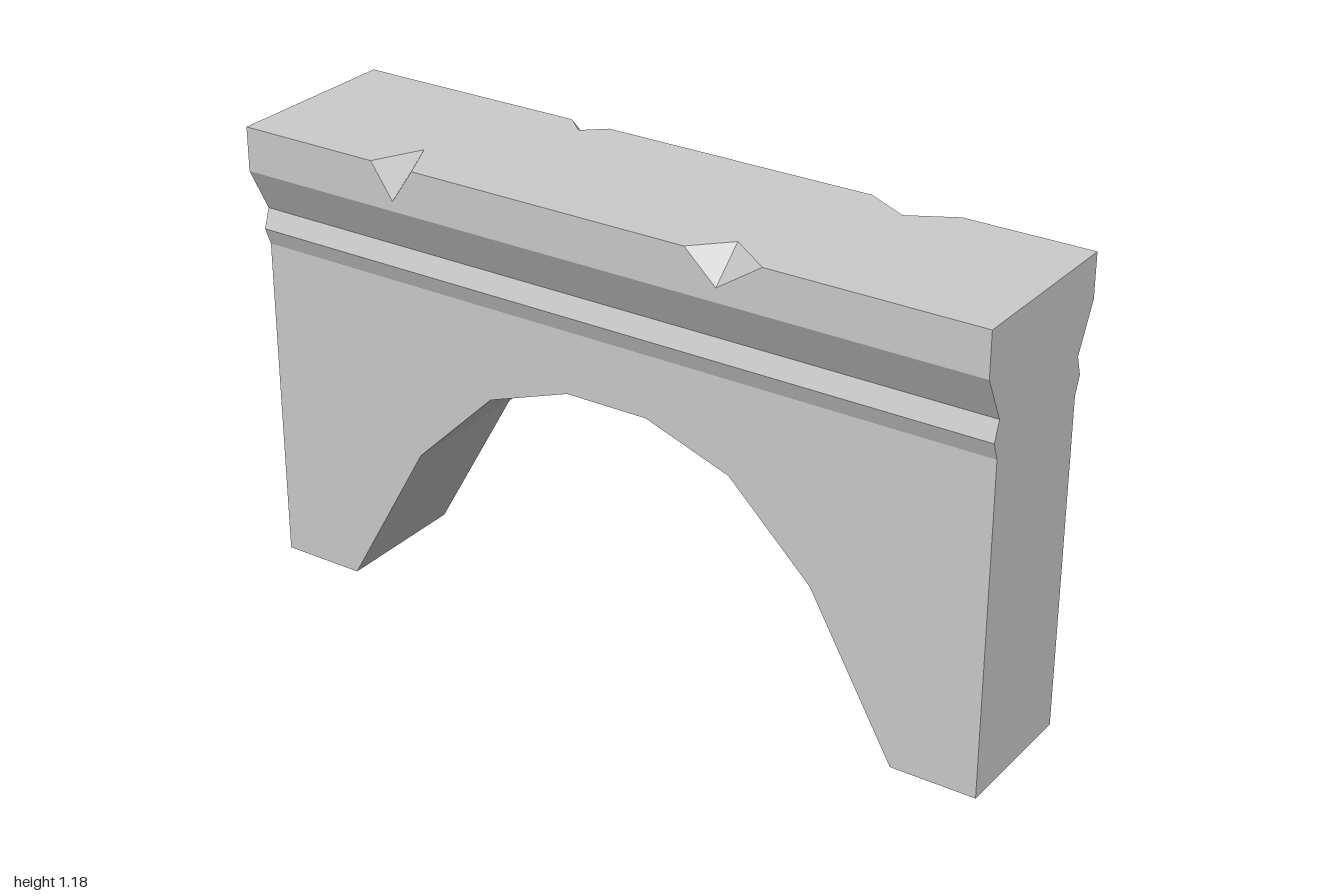
import * as THREE from 'three';

const TOP = 1.178, FASCIA_BOTTOM = 1.065, HALF_DEPTH = 0.238;
const WALL_TOP = 0.855, WALL_HALF = 0.18;

const material = new THREE.MeshStandardMaterial({ color: 0xcccccc, flatShading: true });

function mesh(name, geometry) {
  const m = new THREE.Mesh(geometry, material);
  m.name = name;
  return m;
}

const shapeOf = (points) => new THREE.Shape(points.map(([x, y]) => new THREE.Vector2(x, y)));

// Chips knocked out of the top edges: span along the edge, deepest position,
// height of the low point on the face and inner point on the top
const FRONT_CHIPS = [
  { from: -0.62, to: -0.5, mid: -0.56, low: 1.09, inner: 0.115 },
  { from: 0.25, to: 0.45, mid: 0.333, low: 1.1, inner: 0.152 },
];
const BACK_CHIPS = [
  { from: -0.67, to: -0.44, mid: -0.555, low: 1.117, inner: 0.175 },
  { from: 0.28, to: 0.39, mid: 0.335, low: 1.13, inner: 0.19 },
];

// One long side of the coping, facing +z: fascia, half of the top and chip hollows
function copingSide(name, chips) {
  const side = new THREE.Group();
  side.name = name;

  const edge = (height, notch) => chips.flatMap((c) => [[c.from, height], [c.mid, notch(c)], [c.to, height]]);

  side.add(mesh('fascia', new THREE.ShapeGeometry(shapeOf([
    [1, TOP], [1, FASCIA_BOTTOM], [-1, FASCIA_BOTTOM], [-1, TOP],
    ...edge(TOP, (c) => c.low),
  ])).translate(0, 0, HALF_DEPTH)));

  side.add(mesh('topHalf', new THREE.ShapeGeometry(shapeOf([
    [1, -HALF_DEPTH], [1, 0], [-1, 0], [-1, -HALF_DEPTH],
    ...edge(-HALF_DEPTH, (c) => -c.inner),
  ])).rotateX(-Math.PI / 2).translate(0, TOP, 0)));

  for (const c of chips) {
    const a = [c.from, TOP, HALF_DEPTH], b = [c.to, TOP, HALF_DEPTH];
    const low = [c.mid, c.low, HALF_DEPTH], inner = [c.mid, TOP, c.inner];
    const g = new THREE.BufferGeometry();
    g.setAttribute('position', new THREE.Float32BufferAttribute([a, low, inner, b, inner, low].flat(), 3));
    g.computeVertexNormals();
    side.add(mesh('chip', g));
  }
  return side;
}

export function createModel() {
  const model = new THREE.Group();
  model.name = 'archedWall';

  // Wall with the faceted arch opening
  const arch = [[0.78, 0], [0.555, 0.4], [0.335, 0.615], [0.11, 0.695]];
  const mirrored = arch.map(([x, y]) => [-x, y]);
  const wall = shapeOf([
    [-1, 0], ...mirrored, ...arch.slice().reverse(), [1, 0], [1, WALL_TOP], [-1, WALL_TOP],
  ]);
  model.add(mesh('wall', new THREE.ExtrudeGeometry(wall, { depth: 2 * WALL_HALF, bevelEnabled: false })
    .translate(0, 0, -WALL_HALF)));

  // Moulding: small ridge, then a flare out to the coping, run along the length
  const profile = [[WALL_HALF, WALL_TOP], [0.197, 0.9], [WALL_HALF, 0.95], [HALF_DEPTH, FASCIA_BOTTOM]];
  const moulding = shapeOf([...profile, ...profile.slice().reverse().map(([z, y]) => [-z, y])]);
  model.add(mesh('moulding', new THREE.ExtrudeGeometry(moulding, { depth: 2, bevelEnabled: false })
    .translate(0, 0, -1).rotateY(Math.PI / 2)));

  // Coping with chipped edges
  const back = copingSide('copingBack', BACK_CHIPS);
  back.rotation.y = Math.PI;
  model.add(copingSide('copingFront', FRONT_CHIPS), back);
  for (const s of [1, -1]) {
    const end = mesh('copingEnd', new THREE.PlaneGeometry(2 * HALF_DEPTH, TOP - FASCIA_BOTTOM));
    end.position.set(s, (TOP + FASCIA_BOTTOM) / 2, 0);
    end.rotation.y = s * Math.PI / 2;
    model.add(end);
  }
  return model;
}
